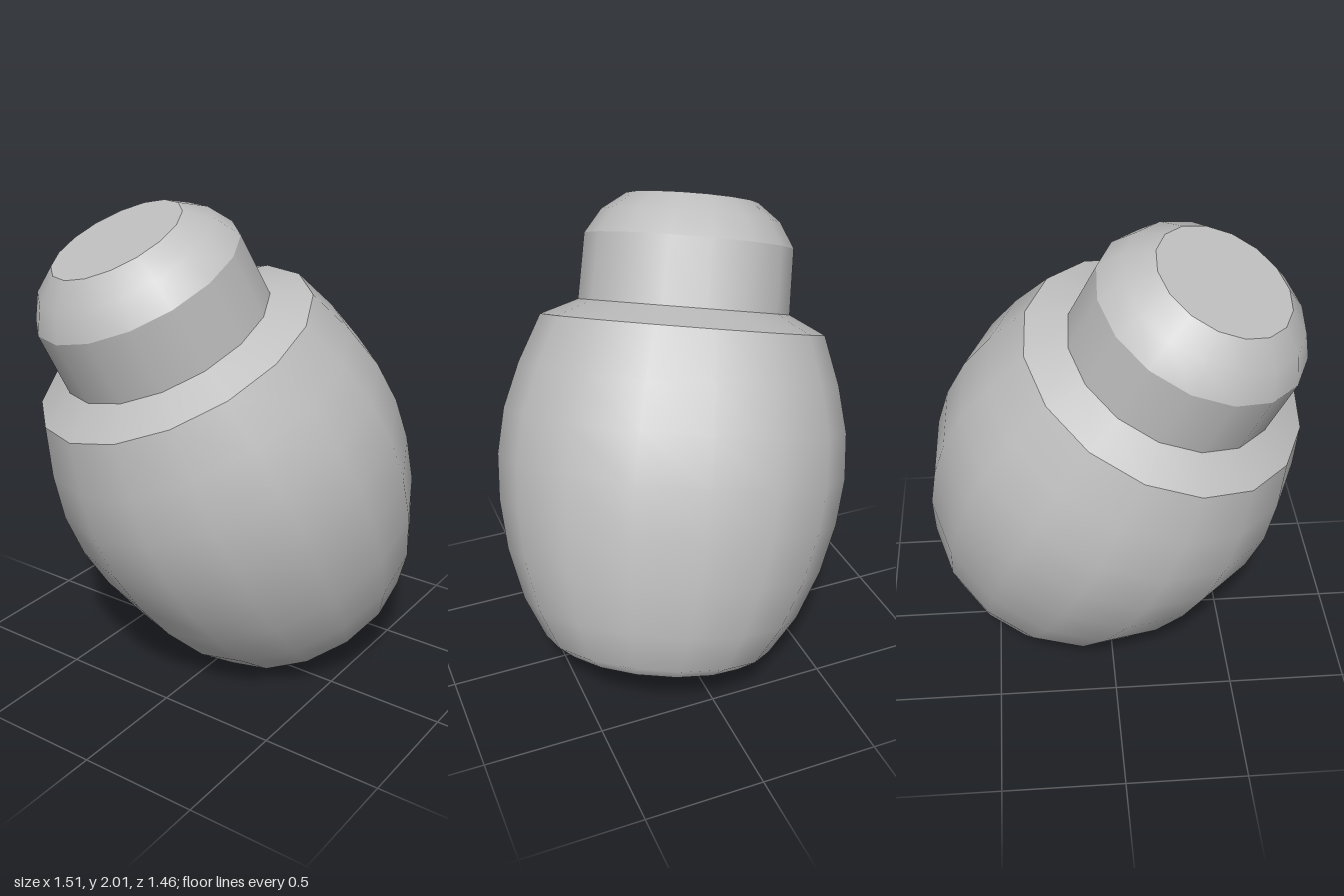
import * as THREE from 'three';

export function createModel() {
  const grey = new THREE.MeshStandardMaterial({ color: 0xbfbfbf });
  grey.name = 'plain grey';

  const SIDES = 16;
  const jar = new THREE.Group();
  jar.name = 'tiltedJar';

  // Each section is turned from [radius, height] pairs, bottom to top
  const turn = (name, profile) => {
    const points = profile.map(([r, h]) => new THREE.Vector2(r, h));
    const mesh = new THREE.Mesh(new THREE.LatheGeometry(points, SIDES, Math.PI / SIDES), grey);
    mesh.name = name;
    jar.add(mesh);
  };

  // Base disc, barrel-shaped body and sloping shoulder
  turn('base', [[0, -0.045], [0.405, -0.045]]);
  turn('body', [
    [0.405, -0.045], [0.478, 0], [0.58, 0.16], [0.66, 0.365], [0.708, 0.57],
    [0.727, 0.76], [0.715, 0.95], [0.667, 1.14], [0.592, 1.34],
  ]);
  turn('shoulder', [[0.592, 1.34], [0.435, 1.415]]);

  // Lid: straight wall, rounded rim and flat top
  turn('lidWall', [[0.442, 1.4], [0.435, 1.68]]);
  turn('lidRim', [[0.435, 1.68], [0.372, 1.782], [0.275, 1.855]]);
  turn('lidTop', [[0.275, 1.855], [0, 1.855]]);

  // Lean the whole jar back and to its right
  const axis = new THREE.Vector3(-0.366, 0.9, -0.231).normalize();
  jar.quaternion.setFromUnitVectors(new THREE.Vector3(0, 1, 0), axis);
  jar.position.set(0.277, 0.213, 0.163);

  const model = new THREE.Group();
  model.name = 'model';
  model.add(jar);
  return model;
}
